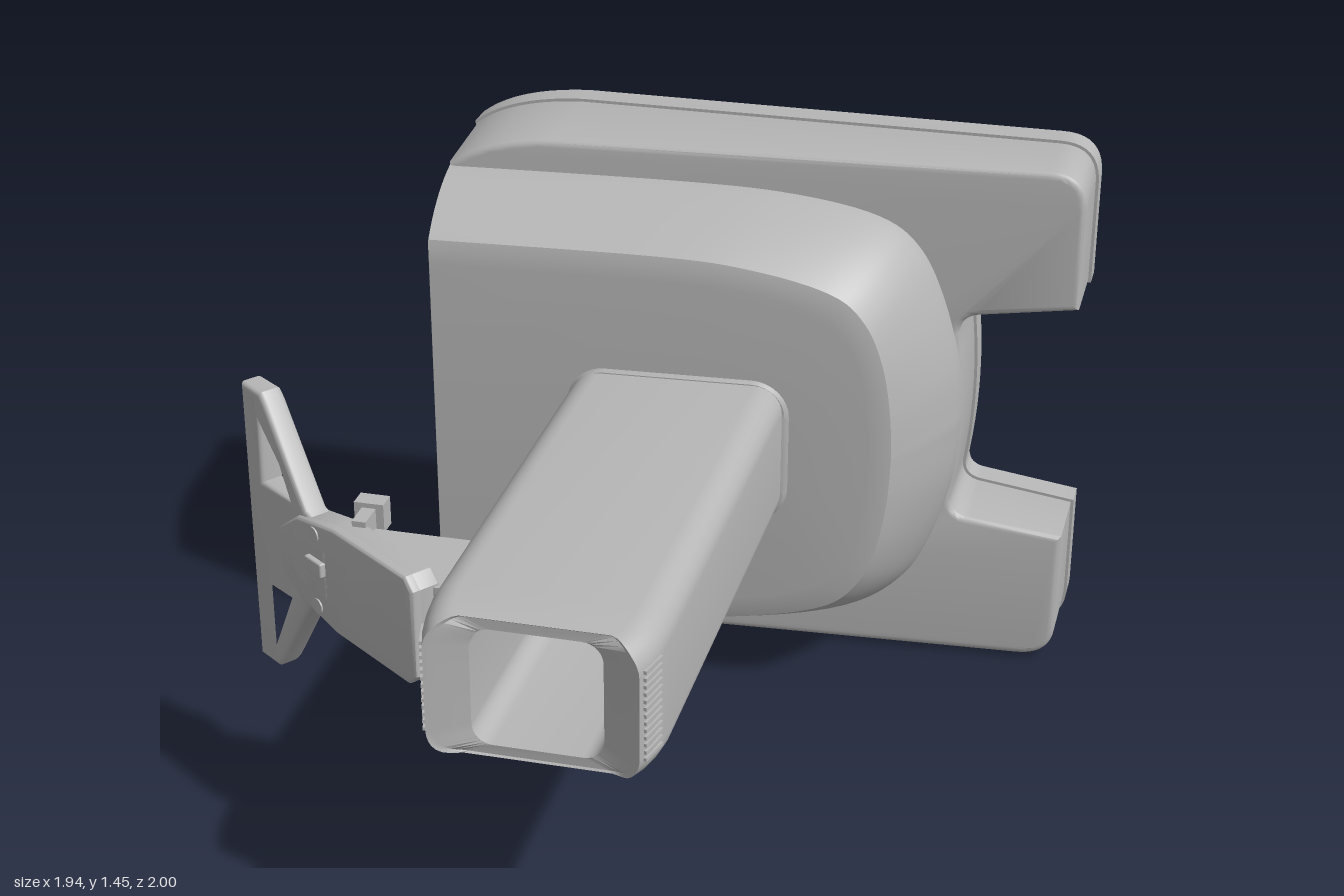
import * as THREE from 'three';
import { toCreasedNormals } from 'three/addons/utils/BufferGeometryUtils.js';
import { RoundedBoxGeometry } from 'three/addons/geometries/RoundedBoxGeometry.js';

const MID = 0.727; // height of the mirror plane
const grey = new THREE.MeshStandardMaterial({ color: 0xb6b6b6 });
grey.name = 'light grey';

function add(parent, name, geometry, x = 0, y = 0, z = 0) {
  const mesh = new THREE.Mesh(geometry, grey);
  mesh.name = name;
  mesh.position.set(x, y, z);
  parent.add(mesh);
  return mesh;
}

// Skin over rings of [x, y, z] that run anticlockwise, with both ends capped
function loft(rings, crease = 0.6) {
  const n = rings[0].length, pos = rings.flat(2), index = [];
  for (let r = 0; r < rings.length - 1; r++) {
    for (let i = 0; i < n; i++) {
      const j = (i + 1) % n, a = r * n + i, b = r * n + j;
      index.push(a, b, b + n, a, b + n, a + n);
    }
  }
  [0, rings.length - 1].forEach((r, end) => {
    const c = pos.length / 3;
    for (let k = 0; k < 3; k++) pos.push(rings[r].reduce((s, p) => s + p[k], 0) / n);
    for (let i = 0; i < n; i++) {
      const a = r * n + i, b = r * n + (i + 1) % n;
      index.push(c, end ? a : b, end ? b : a);
    }
  });
  const g = new THREE.BufferGeometry();
  g.setAttribute('position', new THREE.Float32BufferAttribute(pos, 3));
  g.setIndex(index);
  return toCreasedNormals(g, crease);
}

// Rounded rectangle ring; z is a function of x
function roundRing(x0, x1, h, r, z) {
  const ring = [], n = 8;
  [[x1 - r, h - r], [x0 + r, h - r], [x0 + r, r - h], [x1 - r, r - h]].forEach(([cx, cy], q) => {
    for (let i = 0; i <= n; i++) {
      const a = (q + i / n) * Math.PI / 2, x = cx + r * Math.cos(a);
      ring.push([x, MID + cy + r * Math.sin(a), z(x)]);
    }
  });
  return ring;
}

function polygon(points, Type = THREE.Shape) {
  return new Type(points.map(p => new THREE.Vector2(p[0], p[1])));
}

function roundedPath(x0, y0, x1, y1, r) {
  const p = new THREE.Path();
  p.moveTo(x0 + r, y0);
  p.lineTo(x1 - r, y0); p.quadraticCurveTo(x1, y0, x1, y0 + r);
  p.lineTo(x1, y1 - r); p.quadraticCurveTo(x1, y1, x1 - r, y1);
  p.lineTo(x0 + r, y1); p.quadraticCurveTo(x0, y1, x0, y1 - r);
  p.lineTo(x0, y0 + r); p.quadraticCurveTo(x0, y0, x0 + r, y0);
  return p;
}

// Base outline with rounded left corners and a notch between two feet
function baseOutline() {
  const s = new THREE.Shape(), H = 1.454;
  s.moveTo(-0.77, 0.09);
  s.quadraticCurveTo(-0.67, 0.01, -0.46, 0);
  s.lineTo(0.85, 0); s.quadraticCurveTo(0.96, 0, 0.96, 0.11);
  s.lineTo(0.96, 0.395); s.lineTo(0.7, 0.43); s.quadraticCurveTo(0.65, 0.435, 0.65, 0.48);
  s.quadraticCurveTo(0.685, MID, 0.65, H - 0.48);
  s.quadraticCurveTo(0.65, H - 0.435, 0.7, H - 0.43); s.lineTo(0.96, H - 0.395);
  s.lineTo(0.96, H - 0.11); s.quadraticCurveTo(0.96, H, 0.85, H);
  s.lineTo(-0.46, H); s.quadraticCurveTo(-0.67, H - 0.01, -0.77, H - 0.09);
  s.closePath();
  return s;
}

function buildBase(group) {
  // Back flange with four pockets
  const flange = baseOutline();
  for (const s of [-1, 1]) {
    const hole = (x0, x1, a, b, r) => flange.holes.push(
      roundedPath(x0, MID + Math.min(s * a, s * b), x1, MID + Math.max(s * a, s * b), r));
    hole(0.6, 0.92, 0.355, 0.66, 0.06);
    hole(-0.7, -0.47, 0.325, 0.52, 0.008);
  }
  const fg = new THREE.ExtrudeGeometry(flange, { depth: 0.075, bevelEnabled: false, curveSegments: 10 });
  add(group, 'backFlange', toCreasedNormals(fg, 0.6), 0, 0, -1);

  // Main base, its front sloping back towards the feet
  const g = new THREE.ExtrudeGeometry(baseOutline(), {
    depth: 0.265, bevelThickness: 0.017, bevelSize: 0.017, bevelOffset: -0.025, bevelSegments: 3, curveSegments: 10,
  });
  const p = g.attributes.position;
  for (let i = 0; i < p.count; i++) {
    const x = p.getX(i), z = p.getZ(i), t = Math.max(0, z) / 0.282;
    p.setZ(i, z - 0.0653 * x * t);
    p.setX(i, x + 0.02 * t * THREE.MathUtils.clamp((-0.4 - x) / 0.36, 0, 1));
  }
  add(group, 'mainBase', toCreasedNormals(g, 0.6), 0, 0, -0.925);
}

function buildHousing(group) {
  // D-shaped half profiles: at the base, at the shoulder, on the front face
  const profiles = [
    [[-0.738, 0.63], [-0.1, 0.63], [0.2, 0.615], [0.42, 0.57], [0.53, 0.49], [0.6, 0.35], [0.648, 0.17], [0.662, 0]],
    [[-0.708, 0.53], [-0.1, 0.53], [0.15, 0.51], [0.35, 0.46], [0.44, 0.385], [0.49, 0.27], [0.515, 0.13], [0.522, 0]],
    [[-0.705, 0.465], [-0.1, 0.465], [0.12, 0.45], [0.3, 0.405], [0.39, 0.34], [0.435, 0.24], [0.455, 0.12], [0.46, 0]],
  ].map(list => new THREE.SplineCurve(list.map(p => new THREE.Vector2(...p))));
  const N = 42;
  const section = (a, b, f, t) => {
    const half = [];
    for (let i = 0; i <= N; i++) {
      const p = profiles[a].getPoint(i / N).lerp(profiles[b].getPoint(i / N), f);
      const z0 = -0.68 - 0.0653 * p.x, z1 = -0.347 - 0.061 * p.x;
      half.push([p.x, p.y, z0 + (z1 - z0) * t]);
    }
    const upper = half.slice().reverse().map(([x, y, z]) => [x, MID + y, z]);
    const lower = half.slice(0, N).map(([x, y, z]) => [x, MID - y, z]);
    return [...upper, ...lower];
  };
  const rings = [section(0, 1, 0.05, 0), section(0, 1, 0, 0.1)];
  for (let i = 1; i <= 9; i++) {
    const t = i / 9;
    rings.push(section(0, 1, 0.5 * t + 0.5 * t * t, 0.1 + 0.87 * t));
  }
  rings.push(section(1, 2, 0.4, 0.99), section(1, 2, 1, 1));
  add(group, 'housing', loft(rings, 0.5));

  // Socket frame low on the left wall
  const frame = polygon([[-0.1, -0.14], [0.1, -0.14], [0.1, 0.14], [-0.1, 0.14]]);
  frame.holes.push(roundedPath(-0.075, -0.115, 0.075, 0.115, 0.02));
  const socket = add(group, 'socketFrame',
    new THREE.ExtrudeGeometry(frame, { depth: 0.008, bevelEnabled: false }), -0.722, 0.27, -0.46);
  socket.rotation.y = -Math.PI / 2 + 0.1;
}

function buildArm(group) {
  // Collar where the arm meets the housing
  const slope = d => x => d - 0.061 * x;
  add(group, 'armCollar', loft([
    roundRing(-0.34, 0.252, 0.205, 0.1, slope(-0.4)),
    roundRing(-0.34, 0.252, 0.205, 0.1, slope(-0.345)),
    roundRing(-0.33, 0.242, 0.197, 0.09, slope(-0.338)),
  ]));
  // Hollow arm; the rim dips between two side lips
  const at = z => () => z;
  const lip = x => 0.955 + 0.045 * THREE.MathUtils.smoothstep(Math.abs(x + 0.047), 0.17, 0.25);
  add(group, 'arm', loft([
    roundRing(-0.33, 0.235, 0.194, 0.075, at(-0.42)),
    roundRing(-0.33, 0.235, 0.194, 0.075, at(0.84)),
    roundRing(-0.325, 0.23, 0.19, 0.075, at(0.9)),
    roundRing(-0.315, 0.22, 0.186, 0.075, x => 0.93 + (lip(x) - 0.955) * 0.5),
    roundRing(-0.3, 0.205, 0.182, 0.075, lip),
    roundRing(-0.285, 0.19, 0.178, 0.07, x => lip(x) - 0.004),
    roundRing(-0.205, 0.11, 0.153, 0.05, at(0.952)),
    roundRing(-0.205, 0.11, 0.153, 0.05, at(0.2)),
  ], 0.7));
  // Fine slats on both sides of the tip
  for (const s of [-1, 1]) {
    for (let i = 0; i < 13; i++) {
      const slat = add(group, 'sideSlat', new THREE.BoxGeometry(0.008, 0.009, 0.08),
        -0.0475 + s * 0.27, MID - 0.114 + i * 0.019, 0.945);
      slat.rotation.y = -s * 0.24;
    }
  }
}

function buildHandle(group) {
  // Bracket between arm and lever, with two hinge tabs
  const plan = polygon([[-0.3, 0.49], [-0.66, 0.49], [-0.4, 0.7], [-0.36, 0.73], [-0.3, 0.73]]);
  const bg = new THREE.ExtrudeGeometry(plan, { depth: 0.22, bevelEnabled: false });
  bg.rotateX(Math.PI / 2);
  add(group, 'handleBracket', bg, 0, MID + 0.11, 0);
  for (const s of [-1, 1]) {
    add(group, 'hingeTab', new THREE.BoxGeometry(0.075, 0.075, 0.05), -0.607, MID + s * 0.135, 0.458);
    add(group, 'hingePost', new THREE.BoxGeometry(0.035, 0.06, 0.09), -0.607, MID + s * 0.13, 0.51);
  }

  const lever = new THREE.Group();
  lever.name = 'lever';
  lever.position.set(-0.93, MID, 0.335);
  lever.rotation.y = -0.628;
  group.add(lever);
  const mirrored = half => [...half, ...half.slice().reverse().map(([x, y]) => [x, -y])];
  const slab = (name, shape, z0, z1, bevel) => add(lever, name, toCreasedNormals(new THREE.ExtrudeGeometry(shape, {
    depth: z1 - z0 - 2 * bevel, bevelThickness: bevel, bevelSize: bevel, bevelOffset: -bevel, bevelSegments: 3,
  }), 0.7), 0, 0, z0 + bevel);

  // Grip with two open triangles
  const grip = polygon(mirrored([[-0.04, 0.387], [0.045, 0.387], [0.065, 0.365], [0.22, 0.13], [0.3, 0.1]]));
  for (const s of [-1, 1]) {
    grip.holes.push(polygon([[0.03, s * 0.355], [0.03, s * 0.137], [0.15, s * 0.137], [0.04, s * 0.355]], THREE.Path));
  }
  slab('grip', grip, -0.032, 0.032, 0.012);

  // Lever block with a recessed latch on its face
  const outline = [[0.12, 0.055], [0.2, 0.115], [0.36, 0.145], [0.66, 0.145], [0.69, 0.115]];
  slab('leverBlock', polygon(mirrored(outline)), -0.035, 0.03, 0.008);
  const face = polygon(mirrored(outline));
  face.holes.push(polygon(mirrored([[0.17, 0.045], [0.23, 0.075], [0.42, 0.075]]), THREE.Path));
  slab('leverFace', face, 0.014, 0.047, 0.008);
  add(lever, 'latch', new RoundedBoxGeometry(0.07, 0.04, 0.02, 2, 0.005), 0.26, 0, 0.036);
  for (const s of [-1, 1]) {
    const screw = add(lever, 'screw', new THREE.CylinderGeometry(0.02, 0.02, 0.006, 20), 0.28, s * 0.1, 0.048);
    screw.rotation.x = Math.PI / 2;
  }
}

export function createModel() {
  const group = new THREE.Group();
  group.name = 'wallMountedArm';
  buildBase(group);
  buildHousing(group);
  buildArm(group);
  buildHandle(group);
  return group;
}
